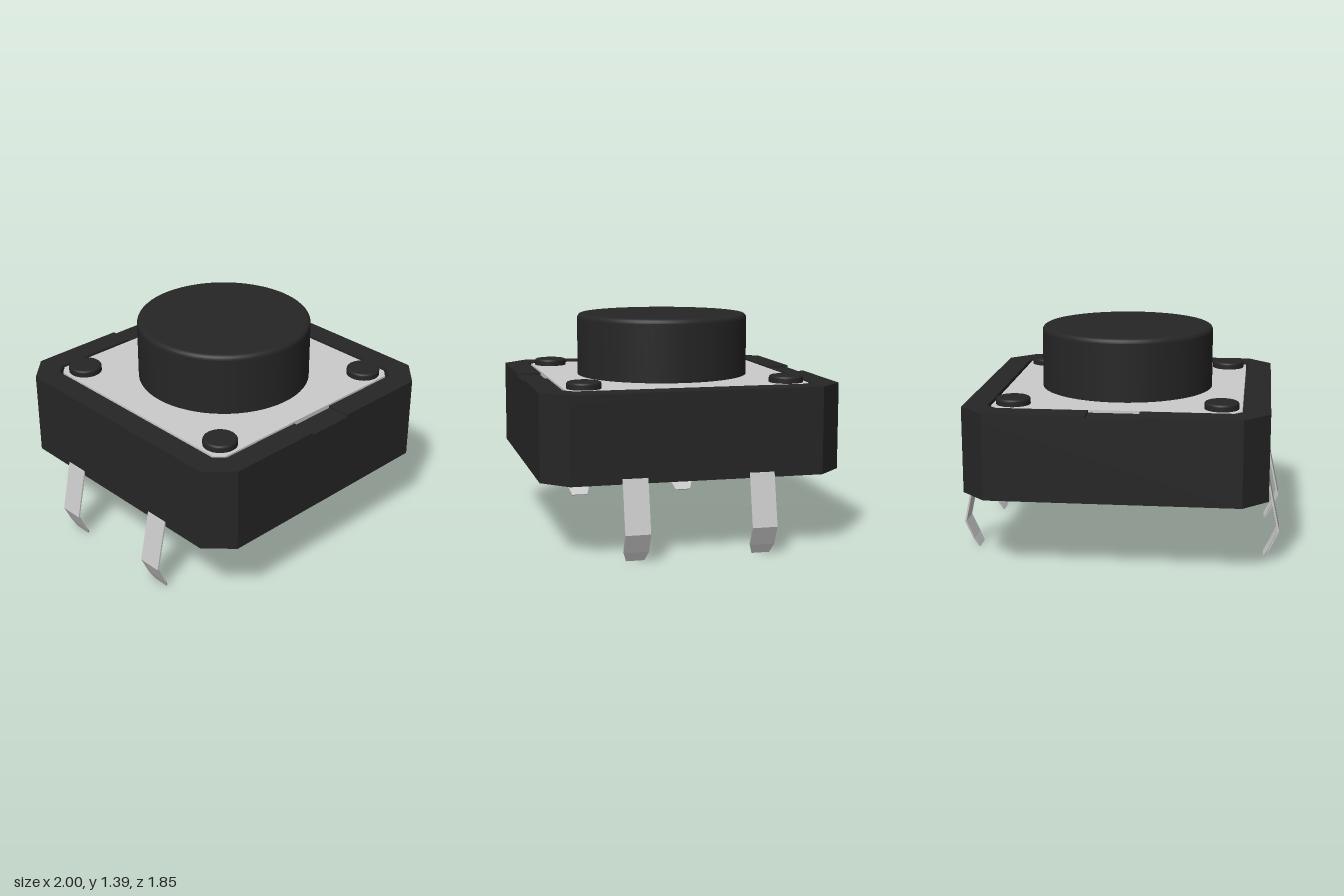
import * as THREE from 'three';

const black = new THREE.MeshStandardMaterial({ color: 0x262626 });
const metal = new THREE.MeshStandardMaterial({ color: 0xcccccc });

// Square outline with cut corners
function octagon(h, c) {
  const k = h - c;
  return [[h, -k], [h, k], [k, h], [-k, h], [-h, k], [-h, -k], [-k, -h], [k, -h]]
    .map(([x, y]) => new THREE.Vector2(x, y));
}

// Upright slab of a plan outline between two heights
function slab(shape, y0, y1) {
  const g = new THREE.ExtrudeGeometry(shape, { depth: y1 - y0, bevelEnabled: false });
  return g.rotateX(-Math.PI / 2).translate(0, y0, 0);
}

// Round post with a filleted top edge
function post(r, y0, y1, f, segments) {
  const pts = [new THREE.Vector2(r, y0), new THREE.Vector2(r, y1 - f)];
  for (let i = 0; i <= 5; i++) {
    const a = (i / 5) * Math.PI / 2;
    pts.push(new THREE.Vector2(r - f + f * Math.cos(a), y1 - f + f * Math.sin(a)));
  }
  pts.push(new THREE.Vector2(0, y1));
  return new THREE.LatheGeometry(pts, segments);
}

export function createModel() {
  const model = new THREE.Group();
  const add = (name, geometry, material, parent = model) => {
    const mesh = new THREE.Mesh(geometry, material);
    mesh.name = name;
    parent.add(mesh);
    return mesh;
  };

  // Housing: solid base, recess wall and a rim notched at front and back
  const H = 0.927, C = 0.155, R = 0.775, N = 0.155;
  const housing = new THREE.Group();
  housing.name = 'housing';
  model.add(housing);
  add('housingBase', slab(new THREE.Shape(octagon(H, C)), 0.465, 0.95), black, housing);
  const wall = new THREE.Shape(octagon(H, C));
  wall.holes.push(new THREE.Path(octagon(R, 0.06)));
  add('recessWall', slab(wall, 0.95, 0.985), black, housing);
  const k = H - C, q = R - 0.06;
  const half = new THREE.Shape([
    [N, -H], [k, -H], [H, -k], [H, k], [k, H], [N, H],
    [N, R], [q, R], [R, q], [R, -q], [q, -R], [N, -R],
  ].map(([x, y]) => new THREE.Vector2(x, y)));
  const rim = slab(half, 0.985, 1);
  add('rimLeft', rim, black, housing);
  add('rimRight', rim, black, housing).rotation.y = Math.PI;

  // Metal cover plate sitting in the recess
  add('coverPlate', slab(new THREE.Shape(octagon(0.757, 0.05)), 0.95, 0.997), metal);

  // Push button and corner rivets
  add('button', post(0.548, 0.95, 1.39, 0.03, 64), black);
  const rivet = post(0.105, 0.95, 1.04, 0.015, 32);
  for (const x of [-0.633, 0.633]) {
    for (const z of [-0.633, 0.633]) add('rivet', rivet, black).position.set(x, 0, z);
  }

  // Bent pins with tapered tips
  const outer = [[0.932, 0.497], [1, 0.175], [0.945, 0.058], [0.914, 0]];
  const inner = [[0.904, 0.006], [0.936, 0.062], [0.989, 0.176], [0.921, 0.497]];
  const profile = new THREE.Shape([...outer, ...inner].map(([x, y]) => new THREE.Vector2(x, y)));
  const pin = new THREE.ExtrudeGeometry(profile, { depth: 0.154, bevelEnabled: false });
  pin.translate(0, 0, -0.077);
  const p = pin.attributes.position;
  for (let i = 0; i < p.count; i++) {
    if (p.getY(i) < 0.03) p.setZ(i, p.getZ(i) * 0.72);
  }
  pin.computeVertexNormals();
  for (const turn of [0, Math.PI]) {
    for (const z of [-0.388, 0.388]) {
      const m = add('pin', pin, metal);
      m.rotation.y = turn;
      m.position.z = z;
    }
  }
  return model;
}
